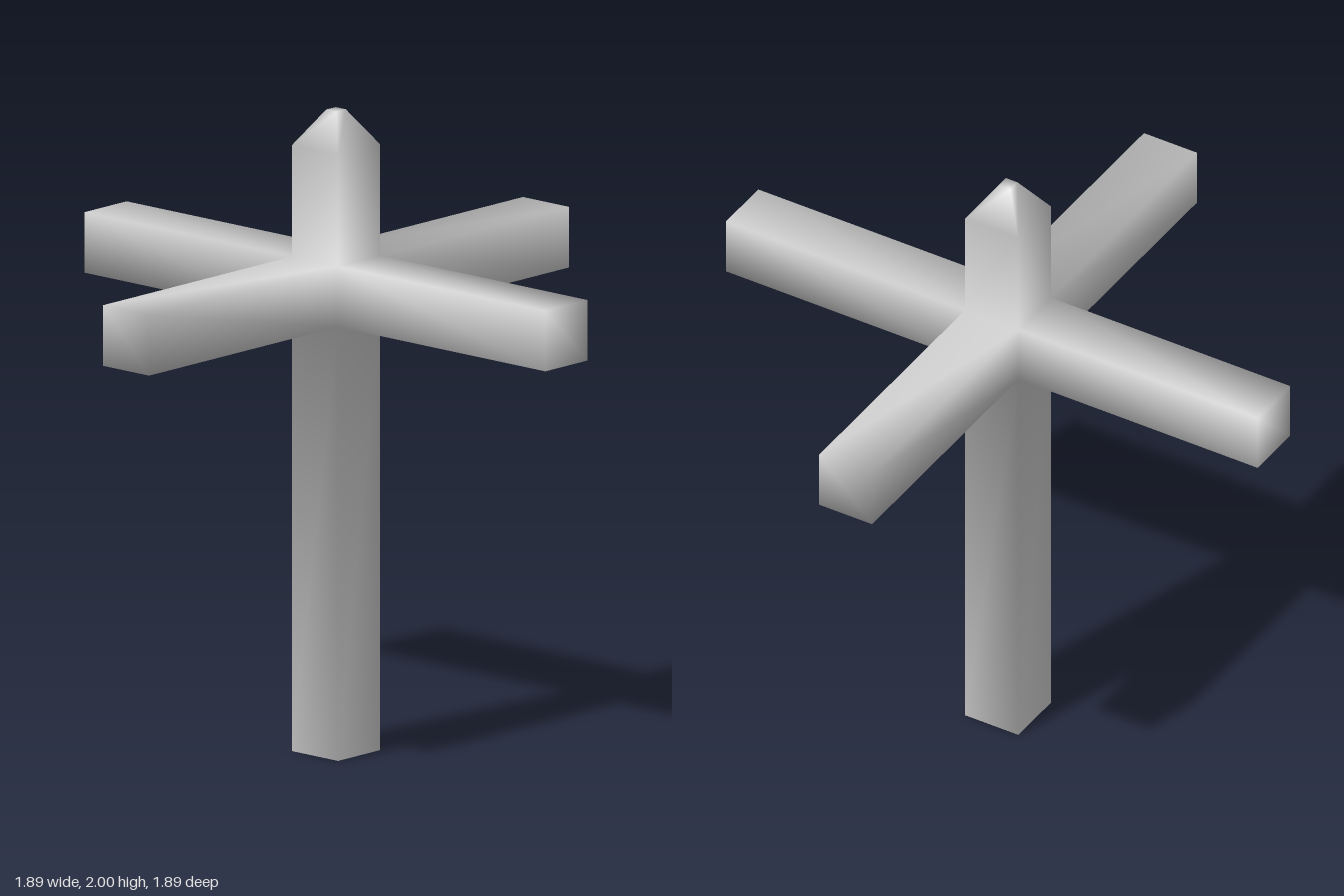
import * as THREE from 'three';
import { mergeGeometries, mergeVertices } from 'three/addons/utils/BufferGeometryUtils.js';

const HALF = 0.0945;   // half thickness of every bar
const HUB_Y = 1.448;   // height of the crossing
const REACH = 0.945;   // length of the side arms from the centre

// Square bar along +y from y0 to y1, open at the base and optionally at the end
function bar(y0, y1, endHalf = HALF, capped = true) {
  const g = new THREE.BoxGeometry(2, 1, 2);
  const p = g.attributes.position;
  for (let i = 0; i < p.count; i++) {
    const top = p.getY(i) > 0;
    const half = top ? endHalf : HALF;
    p.setXYZ(i, p.getX(i) * half, top ? y1 : y0, p.getZ(i) * half);
  }
  // box faces come in the order +x, -x, +y, -y, +z, -z with six indices each
  const keep = Array.from(g.index.array).filter((_, i) => {
    const face = Math.floor(i / 6);
    return face !== 3 && (face !== 2 || capped);
  });
  g.setIndex(keep);
  g.clearGroups();
  g.deleteAttribute('normal');
  g.deleteAttribute('uv');
  return g;
}

export function createModel() {
  const group = new THREE.Group();
  group.name = 'crossPost';

  const parts = [
    bar(HALF, 1.89 - HUB_Y, HALF, false),                  // upper post
    bar(1.89 - HUB_Y, 2 - HUB_Y, 0.021),                   // tapered tip
    bar(HALF, HUB_Y).rotateX(Math.PI),                     // lower post
  ];
  // four horizontal arms
  for (let i = 0; i < 4; i++) {
    parts.push(bar(HALF, REACH).rotateZ(-Math.PI / 2).rotateY(i * Math.PI / 2));
  }

  // weld the bars at the hub so the shading runs smoothly over the corners
  const body = mergeVertices(mergeGeometries(parts), 1e-4);
  body.computeVertexNormals();
  body.translate(0, HUB_Y, 0);

  const mesh = new THREE.Mesh(body, new THREE.MeshStandardMaterial({ color: 0xcccccc }));
  mesh.name = 'postWithArms';
  group.add(mesh);
  return group;
}
